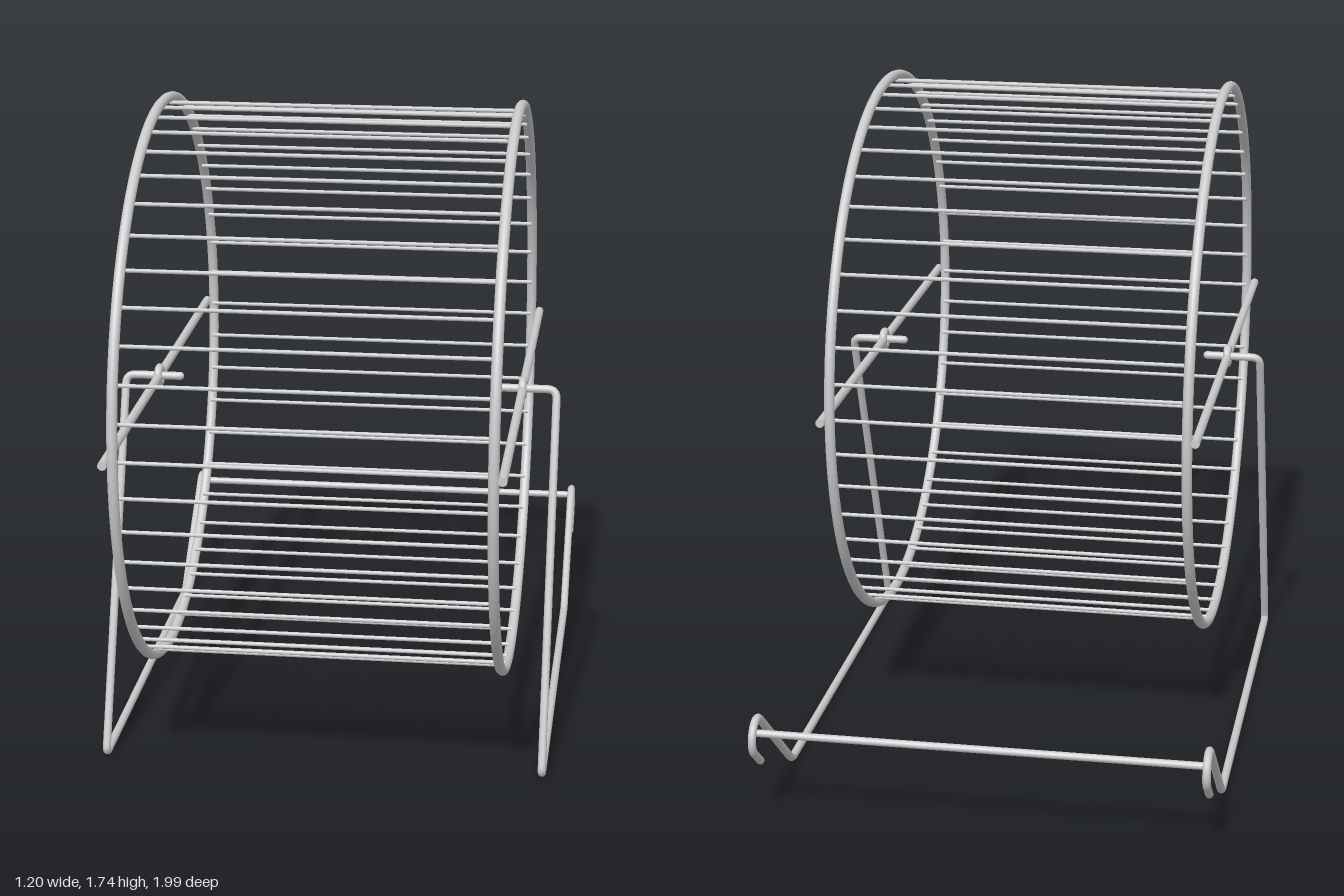
import * as THREE from 'three';

const material = new THREE.MeshStandardMaterial({ color: 0xcccccc });
const V = (x, y, z) => new THREE.Vector3(x, y, z);

const HUB_Y = 0.97, HUB_Z = 0.22;   // wheel axis
const RIM_X = 0.475, RIM_R = 0.761; // rim position and radius
const WIRE = 0.011;                 // stand wire radius

function add(parent, name, geometry, position) {
  const mesh = new THREE.Mesh(geometry, material);
  mesh.name = name;
  if (position) mesh.position.copy(position);
  parent.add(mesh);
  return mesh;
}

// Straight round rod between two points
function rod(parent, name, a, b, radius, sides = 10) {
  const dir = b.clone().sub(a);
  const mesh = add(parent, name, new THREE.CylinderGeometry(radius, radius, dir.length(), sides),
    a.clone().add(b).multiplyScalar(0.5));
  mesh.quaternion.setFromUnitVectors(V(0, 1, 0), dir.normalize());
  return mesh;
}

// Path through corner points, each corner rounded off over the given length
function roundedPath(points, bend) {
  const path = new THREE.CurvePath();
  let from = points[0];
  for (let i = 1; i < points.length - 1; i++) {
    const p = points[i];
    const toward = q => p.clone().add(q.clone().sub(p).setLength(bend));
    const start = toward(points[i - 1]), end = toward(points[i + 1]);
    path.add(new THREE.LineCurve3(from, start));
    path.add(new THREE.QuadraticBezierCurve3(start, p, end));
    from = end;
  }
  path.add(new THREE.LineCurve3(from, points[points.length - 1]));
  return path;
}

// One bent side wire: axle, leg, foot, rising arm and hook
function standSide(parent, side) {
  const x = side * 0.59;
  const hook = { y: 0.235, z: -0.938, r: 0.047 };
  const startAngle = Math.atan2(0.77, 0.635);
  const arc = [];
  for (let i = 0; i <= 12; i++) {
    const a = startAngle + Math.PI * i / 12;
    arc.push(V(x, hook.y + hook.r * Math.sin(a), hook.z + hook.r * Math.cos(a)));
  }
  const axleTip = V(side * 0.44, HUB_Y, HUB_Z);
  const path = roundedPath([
    axleTip,
    V(x, HUB_Y, HUB_Z),
    V(x, 0.012, 0.612),
    V(x, 0.012, -0.6),
    arc[0],
  ], 0.025);
  const tail = V(x, 0.153, -0.912);
  path.add(new THREE.CatmullRomCurve3(arc));
  path.add(new THREE.LineCurve3(arc[arc.length - 1], tail));

  const name = side > 0 ? 'leftStandWire' : 'rightStandWire';
  add(parent, name, new THREE.TubeGeometry(path, 320, WIRE, 10));
  for (const end of [axleTip, tail]) add(parent, 'wireEnd', new THREE.SphereGeometry(WIRE, 10, 8), end);
}

export function createModel() {
  const model = new THREE.Group();
  model.name = 'exerciseWheel';

  // Wheel, built around its own axis
  const wheel = new THREE.Group();
  wheel.name = 'wheel';
  wheel.position.set(0, HUB_Y, HUB_Z);
  model.add(wheel);

  for (const side of [-1, 1]) {
    const rim = add(wheel, 'rim', new THREE.TorusGeometry(RIM_R, 0.014, 12, 120), V(side * RIM_X, 0, 0));
    rim.rotation.y = Math.PI / 2;

    // Diametric bar outside the rim, with an eyelet round the axle
    const barX = side * 0.498;
    const eyelet = add(wheel, 'hubEyelet', new THREE.TorusGeometry(0.022, 0.011, 10, 28), V(barX, 0, 0));
    eyelet.rotation.y = Math.PI / 2;
    for (const dir of [-1, 1]) {
      rod(wheel, 'supportBar', V(barX, 0, dir * 0.02), V(barX, 0, dir * 0.778), 0.012, 12);
    }
  }

  // Rungs round the running surface
  const RUNGS = 48;
  for (let i = 0; i < RUNGS; i++) {
    const a = i / RUNGS * Math.PI * 2;
    const y = 0.746 * Math.sin(a), z = 0.746 * Math.cos(a);
    rod(wheel, 'rung', V(-RIM_X, y, z), V(RIM_X, y, z), 0.0055, 8);
  }

  // Stand
  const stand = new THREE.Group();
  stand.name = 'stand';
  model.add(stand);
  for (const side of [-1, 1]) standSide(stand, side);
  rod(stand, 'rearCrossbar', V(-0.595, 0.255, -0.963), V(0.595, 0.255, -0.963), 0.01);

  return model;
}
